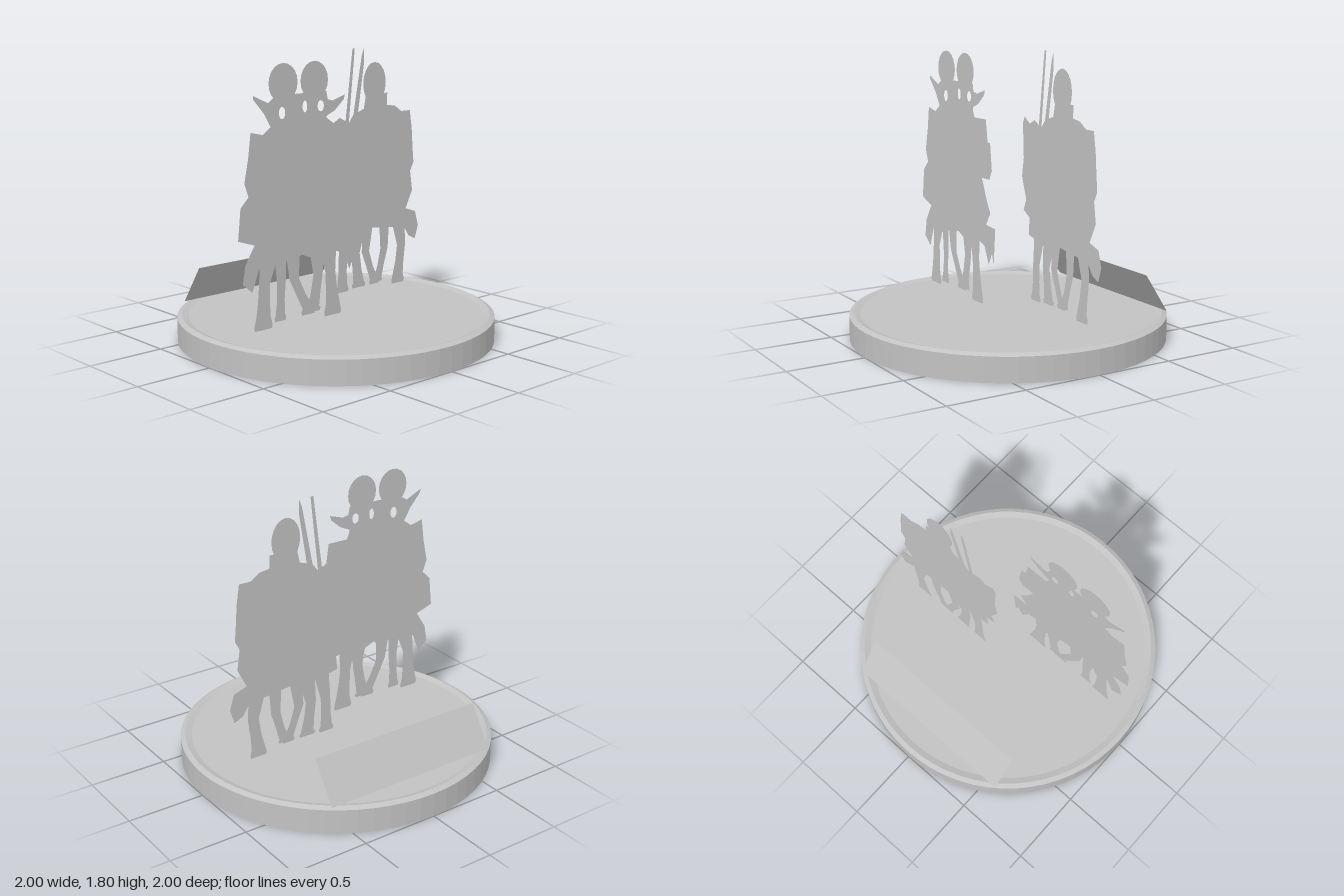
import * as THREE from 'three';

const grey = new THREE.MeshStandardMaterial({ color: 0xc2c2c2, side: THREE.DoubleSide });
grey.name = 'plain grey';

function addFlat(group, name, shape) {
  const mesh = new THREE.Mesh(new THREE.ShapeGeometry(shape, 10), grey);
  mesh.name = name;
  group.add(mesh);
}

// Flat outline from x, y pairs
function outline(...xy) {
  const points = [];
  for (let i = 0; i < xy.length; i += 2) points.push(new THREE.Vector2(xy[i], xy[i + 1]));
  return new THREE.Shape(points);
}

function oval(x, y, rx, ry) {
  return new THREE.Shape().absellipse(x, y, rx, ry, 0, Math.PI * 2);
}

// Leg cut-out: wide thigh, thin knee, flaring to the foot
function leg(hip, knee, foot, half, bottom) {
  const stations = [
    [hip, 0.64, half], [knee, 0.47, 0.02 + half * 0.3], [(knee + foot) / 2, 0.36, half * 0.65],
    [foot, 0.27, half * 0.8], [foot, bottom + 0.02, half], [foot, bottom, half * 0.9],
  ];
  const left = stations.map(([x, y, w]) => new THREE.Vector2(x - w, y));
  const right = stations.map(([x, y, w]) => new THREE.Vector2(x + w, y)).reverse();
  return new THREE.Shape([...left, ...right]);
}

// Two plumed riders in flowing cloaks
function buildPlumedRiders() {
  const group = new THREE.Group();
  group.name = 'plumedRiders';

  addFlat(group, 'cloakedBodies', outline(
    -0.78, 1.38, -0.69, 1.36, -0.62, 1.41, -0.2, 1.42, -0.18, 1.37, -0.04, 1.37, -0.02, 1.23,
    0.01, 1.23, 0.03, 1.06, 0, 1, -0.09, 1, -0.03, 0.86, 0.01, 0.79, -0.04, 0.71, 0.07, 0.7,
    0.05, 0.47, 0.03, 0.54, -0.01, 0.46, -0.06, 0.57, -0.18, 0.61, -0.3, 0.57, -0.4, 0.61,
    -0.48, 0.56, -0.56, 0.62, -0.73, 0.57, -0.78, 0.44, -0.85, 0.5, -0.83, 0.61, -0.76, 0.72,
    -0.88, 0.76, -0.86, 0.95, -0.8, 1.01, -0.83, 1.09, -0.8, 1.23));

  const shoulders = outline(
    -0.62, 1.38, -0.68, 1.48, -0.76, 1.57, -0.76, 1.59, -0.65, 1.54, -0.59, 1.58, -0.2, 1.58,
    -0.19, 1.53, -0.15, 1.52, -0.05, 1.55, -0.06, 1.52, -0.13, 1.46, -0.2, 1.43, -0.19, 1.38);
  shoulders.holes.push(
    oval(-0.545, 1.475, 0.024, 0.036), oval(-0.37, 1.5, 0.018, 0.035), oval(-0.245, 1.495, 0.025, 0.033));
  addFlat(group, 'shouldersAndArms', shoulders);

  addFlat(group, 'plumedHead', oval(-0.535, 1.65, 0.11, 0.115));
  addFlat(group, 'plumedHead', oval(-0.295, 1.65, 0.108, 0.115));

  const legs = [
    [-0.65, -0.69, -0.7, 0.07, 0.2], [-0.57, -0.56, -0.57, 0.045, 0.23],
    [-0.47, -0.46, -0.35, 0.055, 0.23], [-0.28, -0.27, -0.31, 0.06, 0.24],
    [-0.19, -0.17, -0.15, 0.07, 0.19],
  ];
  for (const row of legs) addFlat(group, 'leg', leg(...row));
  return group;
}

// Hooded rider and companion with a pair of upright spears
function buildSpearRiders() {
  const group = new THREE.Group();
  group.name = 'spearRiders';

  addFlat(group, 'hoodedBodies', outline(
    0, 1.34, 0.02, 1.38, 0.08, 1.34, 0.13, 1.37, 0.21, 1.33, 0.25, 1.38, 0.34, 1.41, 0.36, 1.5,
    0.55, 1.5, 0.55, 1.42, 0.62, 1.41, 0.68, 1.37, 0.76, 1.37, 0.78, 1.25, 0.79, 1.12,
    0.8, 1.02, 0.77, 0.96, 0.79, 0.83, 0.73, 0.71, 0.82, 0.68, 0.85, 0.58, 0.82, 0.49,
    0.76, 0.52, 0.72, 0.58, 0.6, 0.6, 0.43, 0.62, 0.2, 0.61, 0.07, 0.64, 0.08, 0.75,
    0.01, 0.79, 0.04, 0.86, -0.01, 1, 0.01, 1.12));
  addFlat(group, 'hoodedHead', oval(0.435, 1.57, 0.1, 0.135));
  addFlat(group, 'leftSpear', outline(0.18, 1.33, 0.24, 1.8, 0.26, 1.8, 0.21, 1.33));
  addFlat(group, 'rightSpear', outline(0.24, 1.33, 0.32, 1.75, 0.34, 1.8, 0.34, 1.7, 0.28, 1.33));

  const legs = [
    [0.19, 0.16, 0.155, 0.055, 0.23], [0.3, 0.27, 0.3, 0.06, 0.24],
    [0.38, 0.36, 0.44, 0.045, 0.24], [0.53, 0.53, 0.47, 0.045, 0.25],
    [0.66, 0.69, 0.66, 0.06, 0.21],
  ];
  for (const row of legs) addFlat(group, 'leg', leg(...row));
  return group;
}

// Round base with a bevelled rim and a shallow sunken top
function buildBase() {
  const profile = [[0, 0], [1, 0], [1, 0.155], [0.97, 0.17], [0.93, 0.157], [0, 0.157]]
    .map(([r, y]) => new THREE.Vector2(r, y));
  const geometry = new THREE.LatheGeometry(profile, 64).toNonIndexed();
  geometry.computeVertexNormals();
  const mesh = new THREE.Mesh(geometry, grey);
  mesh.name = 'roundBase';
  return mesh;
}

// Blank plaque leaning forward from the back rim
function buildPlaque() {
  const rise = 0.25, run = 0.165;
  const mesh = new THREE.Mesh(new THREE.PlaneGeometry(1.2, Math.hypot(rise, run)), grey);
  mesh.position.set(0, 0.17 + rise / 2, -0.8 + run / 2);
  mesh.rotation.x = Math.atan2(run, rise);
  mesh.name = 'leaningPlaque';
  return mesh;
}

export function createModel() {
  const model = new THREE.Group();
  model.name = 'mountedFiguresOnBase';
  const plumed = buildPlumedRiders();
  plumed.position.z = 0.135;
  const spears = buildSpearRiders();
  spears.position.z = -0.11;
  model.add(buildBase(), buildPlaque(), plumed, spears);
  return model;
}
